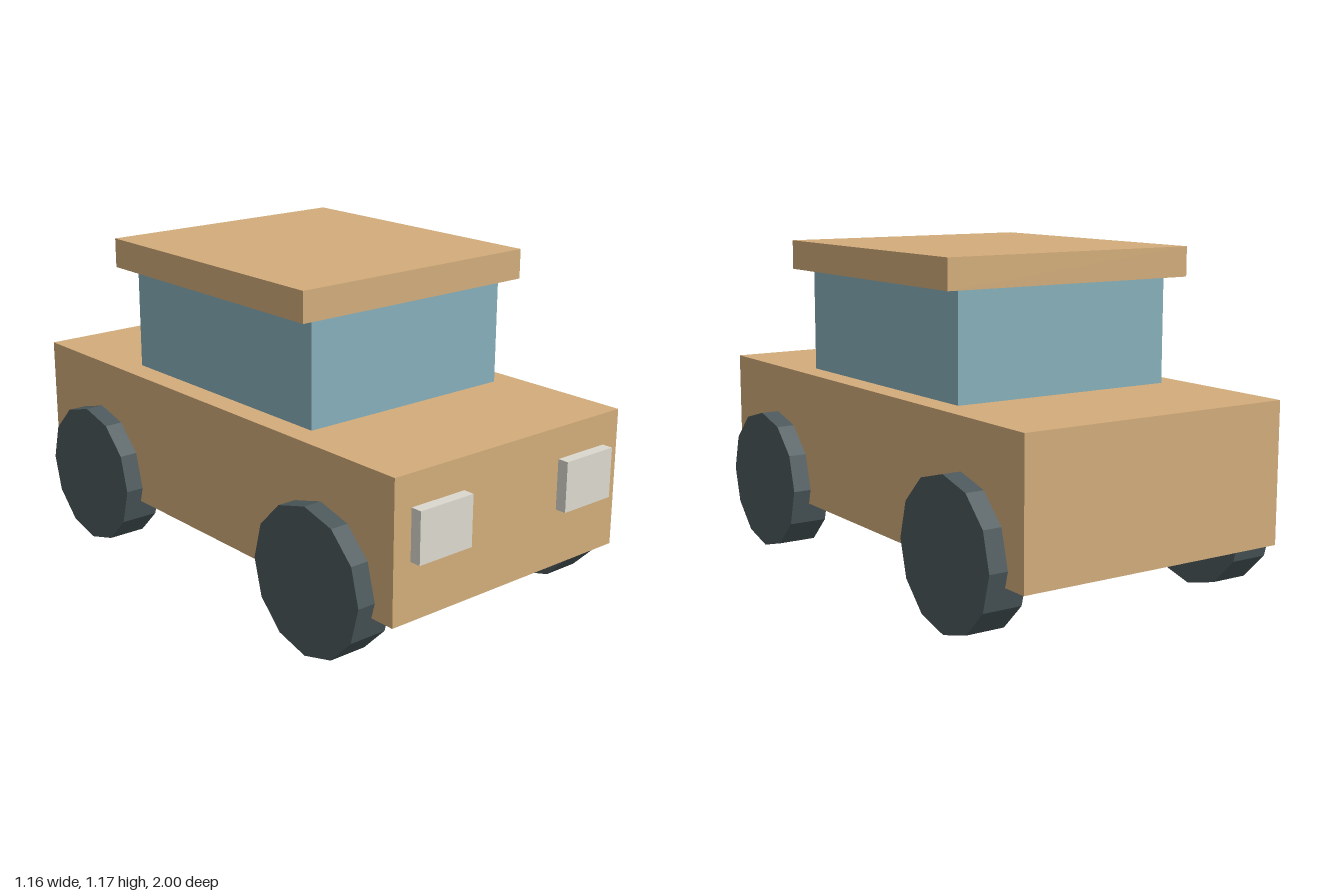
import * as THREE from 'three';

const paint = (color) => new THREE.MeshStandardMaterial({ color, flatShading: true });

export function createModel() {
  const car = new THREE.Group();
  car.name = 'toyCar';
  const wood = paint(0xd2ac7a);
  const glass = paint(0x86afba);
  const rubber = paint(0x4c585b);
  const lamp = paint(0xdbd9ce);

  // Box given by its extents along each axis
  const addBox = (name, material, [x0, x1], [y0, y1], [z0, z1]) => {
    const mesh = new THREE.Mesh(new THREE.BoxGeometry(x1 - x0, y1 - y0, z1 - z0), material);
    mesh.position.set((x0 + x1) / 2, (y0 + y1) / 2, (z0 + z1) / 2);
    mesh.name = name;
    car.add(mesh);
  };

  // Body, cabin and overhanging roof
  addBox('body', wood, [-0.512, 0.512], [0.203, 0.692], [-1, 0.96]);
  addBox('cabin', glass, [-0.424, 0.424], [0.692, 1.065], [-0.51, 0.472]);
  addBox('roof', wood, [-0.49, 0.49], [1.065, 1.17], [-0.553, 0.512]);

  // Headlights
  addBox('leftHeadlight', lamp, [0.218, 0.441], [0.404, 0.581], [0.95, 1]);
  addBox('rightHeadlight', lamp, [-0.441, -0.218], [0.404, 0.581], [0.95, 1]);

  // Twelve-sided wheels, axle along x
  const radius = 0.258;
  const wheelGeometry = new THREE.CylinderGeometry(radius, radius, 0.142, 12).rotateZ(Math.PI / 2);
  for (const [end, z] of [['front', 0.622], ['rear', -0.66]]) {
    for (const [side, sign] of [['Left', 1], ['Right', -1]]) {
      const wheel = new THREE.Mesh(wheelGeometry, rubber);
      wheel.position.set(sign * 0.508, radius, z);
      wheel.name = `${end}${side}Wheel`;
      car.add(wheel);
    }
  }
  return car;
}
